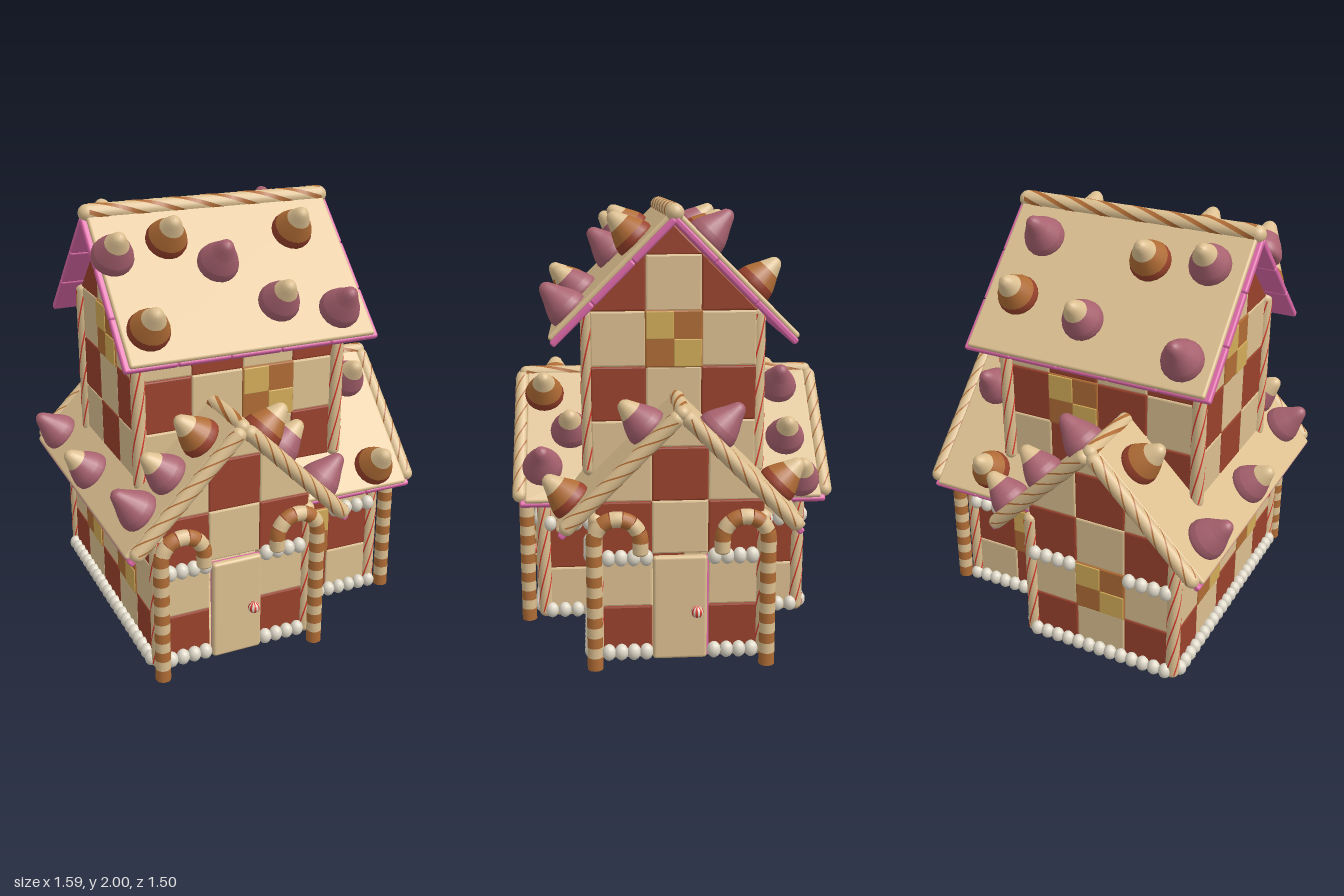
import * as THREE from 'three';
import { RoundedBoxGeometry } from 'three/addons/geometries/RoundedBoxGeometry.js';

const mat = (name, color) => {
  const m = new THREE.MeshStandardMaterial({ color });
  m.name = name;
  return m;
};
const biscuit = mat('biscuit', 0xdcbf90), chocolate = mat('chocolate', 0x9a422c), pink = mat('pink icing', 0xdd68a8),
  mauve = mat('mauve candy', 0xa8626f), caramel = mat('caramel', 0xb06c35), cream = mat('cream icing', 0xdfd9c9),
  red = mat('red stripe', 0xd83a2c), honey = mat('honey glass', 0xd3ac58);

const P = 0.245;             // wall tile pitch
const X0 = -0.585;           // left wall
const WX = X0 + 1.5 * P;     // centre line of the front-to-back wing
const XR = X0 + 5 * P;       // right gable wall

function add(parent, name, geo, material, x = 0, y = 0, z = 0) {
  const m = new THREE.Mesh(geo, material);
  m.name = name;
  m.position.set(x, y, z);
  parent.add(m);
  return m;
}
function group(parent, name, x = 0, y = 0, z = 0, ry = 0) {
  const g = new THREE.Group();
  g.name = name;
  g.position.set(x, y, z);
  g.rotation.y = ry;
  parent.add(g);
  return g;
}

// Keep the part of a polygon where f >= 0
function clip(pts, f) {
  return pts.flatMap((p, i) => {
    const q = pts[(i + 1) % pts.length], a = f(p), b = f(q), out = a >= 0 ? [p] : [];
    if (a * b < 0) out.push(p.clone().lerp(q, a / (a - b)));
    return out;
  });
}

// Pillow-edged tile, cut to the gable when an apex is given
function tile(parent, name, u, v, w, h, material, apex = 9, z = 0) {
  let pts = [[u, v], [u + w, v], [u + w, v + h], [u, v + h]].map(p => new THREE.Vector2(...p));
  pts = clip(clip(pts, p => apex - p.y - p.x), p => apex - p.y + p.x);
  if (pts.length < 3 || Math.abs(THREE.ShapeUtils.area(pts)) < 0.003) return;
  const geo = new THREE.ExtrudeGeometry(new THREE.Shape(pts), {
    depth: 0.04, bevelThickness: 0.008, bevelSize: 0.008, bevelOffset: -0.008, bevelSegments: 2 });
  add(parent, name, geo, material, 0, 0, z - 0.036);
}

// Chequered wall facing local +z; windows: { 'col,row': handedness }, beads: [fromCol, toCol, y]
function wall(root, name, x, z, ry, o) {
  const { cols, rows, base = 0.02, pu = P, pv = 0.24, parity = 0, apex, windows = {}, beads = [], door } = o;
  const g = group(root, name, x, 0, z, ry);
  const left = -cols * pu / 2;
  for (let c = 0; c < cols; c++) for (let r = 0; r < rows; r++) {
    const u = left + c * pu, v = base + r * pv, win = windows[c + ',' + r];
    if (door && c === 1 && r < 2) continue;
    if (!win) {
      tile(g, 'wallTile', u, v, pu, pv, (c + r + parity) % 2 ? biscuit : chocolate, apex);
      continue;
    }
    // Window: caramel tile with two diagonal honey panes
    tile(g, 'windowTile', u - 0.005, v - 0.005, pu + 0.01, pv + 0.01, caramel, 9, 0.006);
    for (let i = 0; i < 2; i++)
      add(g, 'windowPane', new RoundedBoxGeometry(pu / 2, pv / 2, 0.009, 2, 0.004), honey,
        u + (i + 0.5) * pu / 2, v + ((win === 2 ? i : 1 - i) + 0.5) * pv / 2, 0.018);
  }
  for (const [a, b, y] of beads) {
    const n = Math.round((b - a) * pu / 0.056);
    for (let i = 0; i < n; i++) {
      const bead = add(g, 'icingBead', new THREE.SphereGeometry(0.031, 12, 8), cream,
        left + (a + (b - a) * (i + 0.5) / n) * pu, y, 0.025);
      bead.scale.y = 1.2;
    }
  }
  return g;
}

// Round-ended stick along y wrapped in spiral ribbons
function stick(parent, name, len, r, stripe, n, twist, w, x = 0, y = 0, z = 0) {
  const g = group(parent, name, x, y, z);
  add(g, 'stickCore', new THREE.CapsuleGeometry(r, len - 2 * r, 5, 16), biscuit);
  for (let k = 0; k < n; k++) {
    const geo = new THREE.PlaneGeometry(1, 1, 2, 40), p = geo.attributes.position;
    for (let i = 0; i < p.count; i++) {
      const a = p.getX(i) * w + p.getY(i) * twist + k * Math.PI * 2 / n, v = p.getY(i);
      p.setXYZ(i, Math.sin(a) * (r + 0.0015), v * (len - 2 * r), Math.cos(a) * (r + 0.0015));
    }
    geo.computeVertexNormals();
    add(g, 'spiralStripe', geo, stripe);
  }
  return g;
}

// Three-band sweet: 'o' caramel, 't' mauve with pale tip, 'm' all mauve
const sweetBands = [
  [[0, 0], [0.08, 0], [0.092, 0.012], [0.094, 0.03], [0.087, 0.055]],
  [[0.087, 0.055], [0.073, 0.085], [0.054, 0.118]],
  [[0.054, 0.118], [0.037, 0.152], [0.028, 0.17], [0.016, 0.181], [0, 0.185]],
].map(b => new THREE.LatheGeometry(b.map(p => new THREE.Vector2(...p)), 20));
const sweetColours = { o: [chocolate, caramel, biscuit], t: [mauve, mauve, biscuit], m: [mauve, mauve, mauve] };

// Gable roof with its ridge along local x and slopes S long; sweets: [kind, along, across]
function roof(root, name, pos, ry, len, S, ends, ridge, sweets) {
  const g = group(root, name, ...pos, ry);
  for (const side of [1, -1]) {
    const half = group(g, 'roofSide', 0, 0, 0, side > 0 ? 0 : Math.PI);
    const slope = group(half, 'slope');
    slope.rotation.x = Math.PI / 4;
    const n = Math.round(len / 0.24), tw = len / n;
    for (let i = 0; i < n; i++) for (let j = 0; j < 3; j++)
      add(slope, 'pinkRoofTile', new RoundedBoxGeometry(tw, 0.03, S / 3, 2, 0.01), pink,
        -len / 2 + (i + 0.5) * tw, 0, (j + 0.5) * S / 3);
    add(slope, 'biscuitRoofPanel', new RoundedBoxGeometry(len - 0.045, 0.026, S - 0.008, 3, 0.012), biscuit, 0, 0.023, S / 2 - 0.004);
    for (const e of ends) {
      const s = stick(slope, 'gableStick', S - 0.015, 0.034, caramel, 4, 10, 0.22, e * side * len / 2, 0.012, S / 2 - 0.015);
      s.rotation.x = Math.PI / 2;
    }
    for (const [kind, a, d] of sweets) if (Math.sign(d) === side) {
      const c = group(slope, 'roofSweet', a * side, 0.022, Math.abs(d) * Math.SQRT2);
      sweetBands.forEach((b, i) => add(c, 'sweetBand', b, sweetColours[kind][i]));
    }
  }
  const r = stick(g, 'ridgeStick', len + ridge.extra, ridge.r, caramel, 4, 10, 0.5, 0, ridge.y, 0);
  r.rotation.z = Math.PI / 2;
}

// Banded candy cane whose hook points toward dir
function cane(parent, x, z, dir) {
  const g = group(parent, 'candyCane', x, 0, z), R = 0.1, H = 0.57, r = 0.035, arc = Math.PI * R, total = H + arc + 0.05, n = 20;
  const at = s => {
    if (s < H) return new THREE.Vector3(0, 0.015 + s, 0);
    const a = Math.min((s - H) / R, Math.PI);
    return new THREE.Vector3(dir * R * (1 - Math.cos(a)), 0.015 + H + R * Math.sin(a) - Math.max(0, s - H - arc), 0);
  };
  for (let i = 0; i < n; i++) {
    const pts = [0, 1, 2, 3].map(k => at((i + k / 3) * total / n));
    add(g, 'caneBand', new THREE.TubeGeometry(new THREE.CatmullRomCurve3(pts), 4, r, 14), i % 2 ? biscuit : caramel);
  }
  const tip = at(total);
  add(g, 'caneTip', new THREE.SphereGeometry(r, 14, 8), biscuit, tip.x, tip.y, 0).scale.y = 0.5;
  add(g, 'caneFoot', new THREE.CylinderGeometry(r, r, 0.012, 14), caramel, 0, 0.01, 0);
}

// Door, striped knob and two canes on a gable wall
function porch(g) {
  add(g, 'doorFrame', new RoundedBoxGeometry(0.24, 0.47, 0.03, 2, 0.01), pink, 0.006, 0.255, 0.01);
  add(g, 'door', new RoundedBoxGeometry(0.238, 0.478, 0.036, 3, 0.015), biscuit, -0.003, 0.262, 0.036);
  const knob = group(g, 'doorKnob', 0.07, 0.25, 0.07);
  for (let i = 0; i < 16; i++)
    add(knob, 'knobStripe', new THREE.SphereGeometry(0.027, 2, 10, i * Math.PI / 8, Math.PI / 8), i % 2 ? red : cream);
  for (const s of [1, -1]) cane(g, s * 0.377, 0.08, -s);
}

export function createModel() {
  const root = new THREE.Group();
  root.name = 'candyHouse';
  const Q = Math.PI / 2, ZF = 2.5 * P, ZS = 1.5 * P, low = 0.05, high = 0.49, apex = 1.115;

  // Floor tiles
  for (let i = 0; i < 5; i++) for (let j = 0; j < 5; j++) if (i < 3 || (j > 0 && j < 4))
    add(root, 'floorTile', new RoundedBoxGeometry(P, 0.03, P, 2, 0.008), biscuit, X0 + (i + 0.5) * P, 0.025, -ZF + (j + 0.5) * P);

  // Ground-floor walls
  const gable = { cols: 3, rows: 5, apex };
  const doorBeads = [[0.1, 1, low], [2, 2.9, low], [0.1, 1, high], [2, 2.9, high]];
  porch(wall(root, 'frontGable', WX, ZF, 0, { ...gable, door: true, beads: doorBeads }));
  porch(wall(root, 'rightGable', XR, 0, Q, { ...gable, door: true, beads: doorBeads }));
  wall(root, 'backGable', WX, -ZF, Math.PI, { ...gable, windows: { '1,1': 1 }, beads: [[0, 3, low], [0, 1, high], [2, 3, high]] });
  wall(root, 'leftWall', X0, 0, -Q, { cols: 5, rows: 3, windows: { '1,1': 1, '3,1': 1 }, beads: [[0, 5, low]] });
  wall(root, 'rightWingFront', X0 + 4 * P, ZS, 0, { cols: 2, rows: 3, windows: { '0,1': 2 }, beads: [[0, 2.1, low], [1, 2, high]] });
  wall(root, 'rightWingBack', X0 + 4 * P, -ZS, Math.PI, { cols: 2, rows: 3, parity: 1, windows: { '1,1': 1 }, beads: [[-0.1, 2, low], [0, 1, high]] });
  for (const s of [1, -1])
    wall(root, 'innerWall', X0 + 3 * P, s * 2 * P, Q, { cols: 1, rows: 3, parity: 1, beads: [[0, 1, low], [0, 1, high]] });

  // Tower walls
  const TX = -0.0725, TZ = 0.012, TH = 1.972 / 8;
  const tower = { base: 0.8, pv: P, parity: 1 };
  for (const s of [1, -1]) {
    const ry = s > 0 ? 0 : Math.PI;
    wall(root, 'towerWall', TX, TZ + s * ZS, ry, { ...tower, cols: 4, rows: 3, pu: TH, windows: { [s > 0 ? '2,1' : '1,1']: 1 } });
    wall(root, 'towerGable', TX + s * 2 * TH, TZ, s * Q, { ...tower, cols: 3, rows: 5, apex: 1.91, windows: { '1,2': 1 } });
  }

  // Corner posts
  for (const s of [1, -1]) {
    for (const [x, z] of [[X0, ZF], [X0 + 3 * P, ZF], [XR, ZS]])
      stick(root, 'cornerPost', 0.68, 0.032, red, 5, 5, 0.22, x, 0.35, s * z);
    for (const x of [-0.57, 0.4])
      stick(root, 'towerPost', 0.76, 0.032, red, 5, 5, 0.22, x, 1.17, TZ + s * 0.378);
  }

  // Roofs with their sweets
  roof(root, 'towerRoof', [-0.08, 1.933, TZ], 0, 1.2, 0.752, [], { r: 0.04, y: 0.026, extra: 0.01 }, [
    ['t', -0.52, 0.16], ['o', -0.26, 0.12], ['m', -0.06, 0.22], ['o', 0.345, 0.13], ['o', -0.46, 0.42], ['t', 0.16, 0.38], ['m', 0.435, 0.43],
    ['m', -0.44, -0.43], ['t', -0.42, -0.12], ['o', -0.15, -0.14], ['t', 0.06, -0.37], ['o', 0.41, -0.33], ['m', 0.39, -0.12]]);
  roof(root, 'crossRoof', [WX, 1.135, 0], Q, 1.43, 0.735, [1, -1], { r: 0.033, y: 0.015, extra: 0.03 }, [
    ['o', -0.605, 0.1], ['t', -0.48, 0.25], ['m', -0.61, 0.39], ['m', 0.545, 0.08], ['t', 0.55, 0.29], ['t', 0.595, 0.45],
    ['o', -0.56, -0.1], ['t', -0.55, -0.25], ['m', -0.56, -0.39], ['t', 0, -0.43], ['m', 0.51, -0.43], ['o', 0.54, -0.12]]);
  roof(root, 'rightRoof', [0.275, 1.135, 0], 0, 0.96, 0.735, [1], { r: 0.033, y: 0.015, extra: 0.06 }, [
    ['t', 0.325, 0.11], ['o', 0.305, 0.44], ['m', 0.325, -0.13], ['o', 0.19, -0.42]]);
  return root;
}
